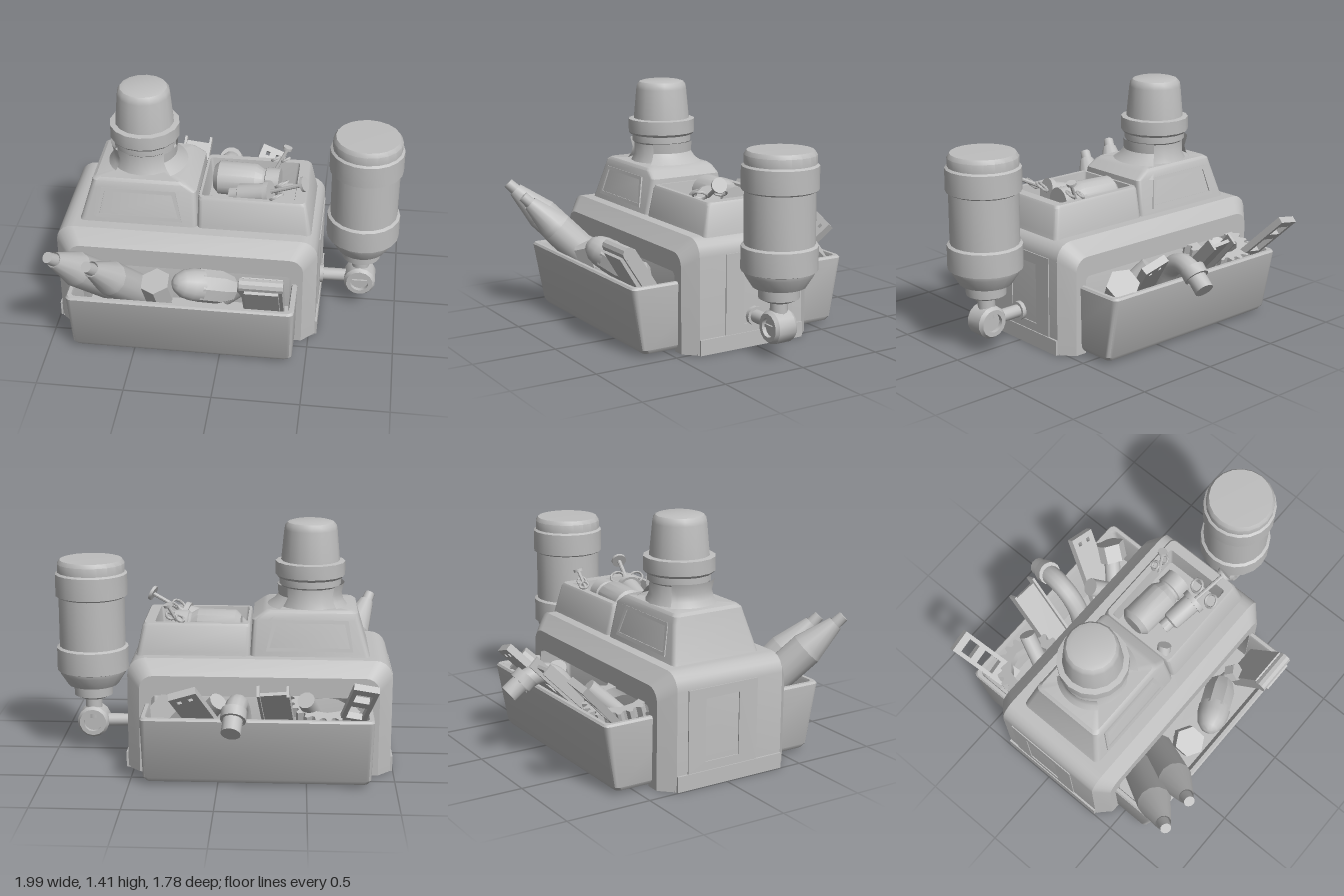
import * as THREE from 'three';
import { toCreasedNormals } from 'three/addons/utils/BufferGeometryUtils.js';

const grey = new THREE.MeshStandardMaterial({ color: 0xbebebe, side: THREE.DoubleSide });
grey.name = 'plain grey';
const V = (x, y, z) => new THREE.Vector3(x, y, z);
const UP = V(0, 1, 0);

export function createModel() {
  const root = new THREE.Group();
  root.name = 'toolCaddy';

  const add = (name, geo, crease = 0.6) => {
    const m = new THREE.Mesh(toCreasedNormals(geo, crease), grey);
    m.name = name;
    root.add(m);
    return m;
  };
  const box = (name, x0, x1, y0, y1, z0, z1) => {
    const g = new THREE.BoxGeometry(x1 - x0, y1 - y0, z1 - z0);
    return add(name, g.translate((x0 + x1) / 2, (y0 + y1) / 2, (z0 + z1) / 2));
  };
  // Stands a mesh built along +y on point a, pointing to b
  const aim = (m, a, b) => {
    const A = V(...a), dir = V(...b).sub(A).normalize();
    m.position.copy(A);
    m.quaternion.setFromUnitVectors(UP, dir);
    return m;
  };
  // Lathe from [radius, height] pairs
  const turned = (name, pts, seg = 14, a = [0, 0, 0], b = [a[0], a[1] + 1, a[2]]) =>
    aim(add(name, new THREE.LatheGeometry(pts.map(p => new THREE.Vector2(...p)), seg)), a, b);
  const rod = (name, r, a, b, seg = 12) => {
    const l = V(...a).distanceTo(V(...b));
    return turned(name, [[0, 0], [r, 0], [r, l], [0, l]], seg, a, b);
  };
  const extrude = (shape, depth) =>
    new THREE.ExtrudeGeometry(shape, { depth, bevelEnabled: false, curveSegments: 6 });
  const rect = (x0, x1, y0, y1) =>
    new THREE.Shape([[x0, y0], [x1, y0], [x1, y1], [x0, y1]].map(p => new THREE.Vector2(...p)));

  // Skin over rings of equal length
  const loft = (name, rings, { open = false, capFirst = false, capLast = false, wrap = false } = {}) => {
    const n = rings[0].length, pos = [], idx = [];
    rings.forEach(r => r.forEach(p => pos.push(p.x, p.y, p.z)));
    for (let i = 0; i < rings.length - (wrap ? 0 : 1); i++) {
      const k = (i + 1) % rings.length;
      for (let j = 0; j < n - (open ? 1 : 0); j++) {
        const j2 = (j + 1) % n, a = i * n + j, b = i * n + j2, c = k * n + j2, d = k * n + j;
        idx.push(a, b, c, a, c, d);
      }
    }
    const cap = (i, flip) => {
      const c = rings[i].reduce((s, p) => s.add(p), V(0, 0, 0)).divideScalar(n), o = pos.length / 3;
      pos.push(c.x, c.y, c.z);
      for (let j = 0; j < n; j++) {
        const a = i * n + j, b = i * n + (j + 1) % n;
        idx.push(o, flip ? b : a, flip ? a : b);
      }
    };
    if (capFirst) cap(0, true);
    if (capLast) cap(rings.length - 1, false);
    const g = new THREE.BufferGeometry();
    g.setAttribute('position', new THREE.Float32BufferAttribute(pos, 3));
    g.setIndex(idx);
    return add(name, g);
  };
  // Horizontal rounded rectangle
  const ring = (y, x0, x1, z0, z1, r = 0.03) => {
    const out = [];
    [[x1 - r, z0 + r], [x0 + r, z0 + r], [x0 + r, z1 - r], [x1 - r, z1 - r]].forEach(([cx, cz], q) => {
      for (let k = 0; k <= 3; k++) {
        const a = (q + k / 3) * Math.PI / 2;
        out.push(V(cx + r * Math.cos(a), y, cz - r * Math.sin(a)));
      }
    });
    return out;
  };

  // Main body: thick arch with a chamfered outer edge
  const arch = (x0, x1, top, r, z) => {
    const out = [V(x1, 0, z)];
    const corner = (cx, q) => {
      for (let k = 0; k <= 5; k++) {
        const a = (q + k / 5) * Math.PI / 2;
        out.push(V(cx + r * Math.cos(a), top - r + r * Math.sin(a), z));
      }
    };
    corner(x1 - r, 0);
    corner(x0 + r, 1);
    return [...out, V(x0, 0, z)];
  };
  loft('bodyArch', [
    arch(-0.83, 0.39, 0.46, 0.03, -0.4), arch(-0.91, 0.46, 0.575, 0.08, -0.4),
    arch(-0.985, 0.535, 0.66, 0.1, -0.32), arch(-0.985, 0.535, 0.66, 0.1, 0.37),
    arch(-0.91, 0.46, 0.575, 0.08, 0.445), arch(-0.83, 0.39, 0.46, 0.03, 0.445),
  ], { open: true, wrap: true });
  box('bodyCore', -0.835, 0.395, 0.09, 0.465, -0.16, 0.19);
  for (const s of [1, -1]) {
    const X = d => -0.225 + s * d;
    const side = (n, d0, d1, ...r) => box(n, Math.min(X(d0), X(d1)), Math.max(X(d0), X(d1)), ...r);
    side('legSole', 0.615, 0.755, 0, 0.01, -0.33, 0.38);
    side('sideFoot', 0.74, 0.772, 0, 0.09, -0.32, 0.37);
    // Raised side frame with a tall window
    const f = rect(-0.2, 0.25, 0.09, 0.56);
    f.holes.push(rect(-0.08, 0.14, 0.14, 0.5));
    const p = add('sideFrame', extrude(f, 0.008).rotateY(Math.PI / 2));
    p.position.x = s > 0 ? 0.533 : -0.991;
  }

  // Open drawers front and back
  const drawer = (name, s, top, low) => {
    const R = (y, i, zOut, zIn) => ring(y, -0.87 + i, 0.43 - i,
      Math.min(s * (zOut - i), s * (zIn + i)), Math.max(s * (zOut - i), s * (zIn + i)));
    loft(name, [R(0.02, 0.025, low + 0.005, 0.17), R(0.045, 0.008, low + 0.005, 0.17), R(0.4, 0, top, 0.17),
      R(0.412, 0.008, top, 0.17), R(0.412, 0.028, top, 0.17), R(0.395, 0.034, top, 0.17),
      R(0.06, 0.035, low, 0.17)], { capFirst: true, capLast: true });
  };
  drawer('frontDrawer', 1, 0.73, 0.67);
  drawer('backDrawer', -1, 0.69, 0.63);

  // Upper housing and tray
  loft('beaconHousing', [ring(0.655, -0.86, -0.17, -0.26, 0.305), ring(0.68, -0.85, -0.17, -0.255, 0.3),
    ring(0.865, -0.795, -0.18, -0.215, 0.255), ring(0.905, -0.785, -0.235, -0.205, 0.245),
    ring(0.92, -0.765, -0.26, -0.19, 0.23)], { capLast: true });
  loft('toolTray', [ring(0.655, -0.17, 0.49, -0.26, 0.305), ring(0.68, -0.17, 0.485, -0.255, 0.3),
    ring(0.825, -0.17, 0.455, -0.225, 0.265), ring(0.84, -0.165, 0.445, -0.215, 0.255),
    ring(0.84, -0.15, 0.385, -0.18, 0.23, 0.015), ring(0.7, -0.135, 0.37, -0.165, 0.215, 0.015)], { capLast: true });
  // Sloping trapezoid trims on the housing
  for (const s of [1, -1]) {
    const trap = i => [[-0.76 + i, i], [-0.26 - i, i], [-0.3 - i, 0.18 - i], [-0.73 + i, 0.18 - i]]
      .map(p => new THREE.Vector2(...p));
    const t = new THREE.Shape(trap(0));
    t.holes.push(new THREE.Path(trap(0.02)));
    const m = add('housingTrim', extrude(t, 0.014).translate(0, 0, -0.007));
    m.position.set(0, 0.69, s > 0 ? 0.298 : -0.253);
    m.rotation.x = -s * 0.23;
  }

  // Warning beacon
  turned('beaconNeck', [[0.2, 0.9], [0.17, 0.96], [0.168, 1.03], [0.18, 1.04], [0.18, 1.09]], 16, [-0.51, 0, 0]);
  turned('beaconCollar', [[0.16, 1.075], [0.188, 1.08], [0.203, 1.095], [0.203, 1.175], [0.17, 1.18]], 16, [-0.51, 0, 0]);
  turned('beaconDome', [[0.172, 1.17], [0.154, 1.36], [0.149, 1.385], [0.136, 1.402], [0.11, 1.41], [0, 1.411]],
    16, [-0.51, 0, 0]);
  const cowl = (name, pts, mid, half) => {
    const g = new THREE.LatheGeometry(pts.map(p => new THREE.Vector2(...p)), 10, mid - half, half * 2);
    add(name, g).position.set(-0.51, 0, 0);
  };
  cowl('rightCowl', [[0.33, 0.86], [0.27, 0.905], [0.21, 0.945], [0.185, 0.98], [0.19, 1.04]], Math.PI / 2, 0.8);
  cowl('leftCowl', [[0.22, 0.915], [0.195, 0.95], [0.185, 0.99], [0.2, 1.05]], -Math.PI / 2, 0.8);

  // Side tank on its swivel joint
  const tx = 0.78, tz = 0.01;
  turned('tank', [[0, 0.32], [0.05, 0.32], [0.075, 0.325], [0.115, 0.345], [0.117, 0.405], [0.15, 0.41], [0.195, 0.48],
    [0.2, 0.5], [0.214, 0.505], [0.214, 0.64], [0.197, 0.65], [0.197, 0.945], [0.214, 0.955],
    [0.214, 1.085], [0.2, 1.095], [0.2, 1.145], [0.185, 1.168], [0, 1.172]], 20, [tx, 0, tz]);
  rod('tankStem', 0.05, [tx, 0.2, tz], [tx, 0.34, tz]);
  turned('swivelJoint', [[0, 0.025], [0.055, 0.025], [0.055, 0], [0.08, 0], [0.095, 0.02], [0.095, 0.125],
    [0.08, 0.145], [0.055, 0.145], [0.055, 0.12], [0, 0.12]], 14, [tx, 0.18, -0.06], [tx, 0.18, 1]);
  box('swivelSlot', 0.735, 0.825, 0.172, 0.19, 0.05, 0.072);
  rod('tankArm', 0.038, [0.5, 0.18, tz], [0.72, 0.18, tz]);
  rod('armFlange', 0.055, [0.53, 0.18, tz], [0.56, 0.18, tz]);

  // Front drawer contents
  const marker = (name, a, b) => {
    turned(name + 'Barrel', [[0, 0], [0.1, 0], [0.1, 0.37]], 12, a, b);
    turned(name + 'Cone', [[0.1, 0.37], [0.092, 0.4], [0.045, 0.59]], 12, a, b);
    turned(name + 'Tip', [[0.036, 0.585], [0.032, 0.65], [0, 0.65]], 12, a, b);
  };
  marker('leftMarker', [-0.66, 0.34, 0.46], [-0.91, 0.79, 0.86]);
  marker('rightMarker', [-0.49, 0.28, 0.45], [-0.68, 0.7, 0.82]);
  rod('frontNut', 0.09, [-0.35, 0.36, 0.56], [-0.37, 0.48, 0.6], 6);
  rod('frontBoltShank', 0.045, [-0.33, 0.2, 0.5], [-0.35, 0.4, 0.57]);
  const bulbA = [0.06, 0.39, 0.5], bulbB = [-0.27, 0.52, 0.65];
  turned('bulbBase', [[0, 0], [0.07, 0], [0.097, 0.08], [0.097, 0.22]], 8, bulbA, bulbB);
  turned('bulbDome', [[0.095, 0.2], [0.092, 0.26], [0.078, 0.315], [0.05, 0.355], [0.022, 0.372], [0, 0.376]],
    16, bulbA, bulbB);
  rod('smallBoltHead', 0.055, [0.13, 0.4, 0.5], [0.16, 0.44, 0.54], 6);
  rod('smallBoltShank', 0.035, [0.02, 0.28, 0.46], [0.13, 0.41, 0.51]);
  const slab = (name, w, l, t, a, b) =>
    aim(add(name, new THREE.BoxGeometry(w, l, t).translate(0, l / 2, 0)), a, b);
  slab('gadgetBody', 0.23, 0.36, 0.08, [0.25, 0.29, 0.52], [0.25, 0.59, 0.71]);
  rod('gadgetRim', 0.037, [0.125, 0.595, 0.72], [0.37, 0.595, 0.72], 10);
  slab('gadgetLip', 0.19, 0.27, 0.03, [0.25, 0.34, 0.61], [0.25, 0.57, 0.75]);

  // Back drawer contents
  const gear = new THREE.Shape();
  for (let i = 0; i < 80; i++) {
    const a = i / 80 * Math.PI * 2, r = i % 4 < 2 ? 0.215 : 0.185;
    gear[i ? 'lineTo' : 'moveTo'](r * Math.cos(a), r * Math.sin(a));
  }
  gear.holes.push(new THREE.Path().absarc(0, 0, 0.13, 0, Math.PI * 2));
  const gearMesh = add('gear', extrude(gear, 0.06));
  gearMesh.position.set(-0.61, 0.4, -0.43);
  gearMesh.rotation.x = -Math.PI / 2 - 0.25;
  rod('backTube', 0.05, [-0.57, 0.3, -0.38], [-0.49, 0.5, -0.58]);
  const plate = (name, w, l, t, holes, a, b) => {
    const p = rect(-w / 2, w / 2, 0, l);
    holes.forEach(h => p.holes.push(rect(...h)));
    return aim(add(name, extrude(p, t).translate(0, 0, -t / 2)), a, b);
  };
  plate('windowPlate', 0.14, 0.46, 0.04, [[-0.045, 0.045, 0.33, 0.41], [-0.045, 0.045, 0.15, 0.28]],
    [-0.73, 0.32, -0.51], [-0.81, 0.64, -0.82]);
  plate('channelWeb', 0.16, 0.47, 0.02, [], [-0.35, 0.25, -0.43], [-0.31, 0.58, -0.75]);
  for (const s of [1, -1])
    slab('channelFlange', 0.015, 0.47, 0.07, [-0.35 + s * 0.08, 0.27, -0.45], [-0.31 + s * 0.08, 0.6, -0.77]);
  plate('drilledStrip', 0.16, 0.47, 0.045, [[-0.045, -0.02, 0.41, 0.435], [0.02, 0.045, 0.41, 0.435]],
    [0.04, 0.25, -0.44], [0.18, 0.56, -0.73]);
  const bend = new THREE.CatmullRomCurve3([V(-0.14, 0.2, -0.47), V(-0.13, 0.34, -0.5), V(-0.12, 0.45, -0.57),
    V(-0.11, 0.49, -0.66), V(-0.1, 0.47, -0.74), V(-0.095, 0.44, -0.79)]);
  add('elbowPipe', new THREE.TubeGeometry(bend, 18, 0.06, 12), 0.8);
  rod('elbowCollar', 0.072, [-0.1, 0.485, -0.745], [-0.095, 0.445, -0.79], 14);
  rod('elbowEnd', 0.055, [-0.095, 0.45, -0.785], [-0.085, 0.39, -0.86], 14);
  rod('backBoltHead', 0.095, [0.25, 0.38, -0.54], [0.3, 0.45, -0.61], 6);
  rod('backBoltShank', 0.05, [0.1, 0.25, -0.4], [0.25, 0.4, -0.54]);
  rod('shortTube', 0.055, [0.12, 0.3, -0.4], [0.0, 0.46, -0.5]);

  // Tray contents
  turned('flask', [[0, 0], [0.07, 0], [0.1, 0.03], [0.1, 0.25], [0.075, 0.29], [0.075, 0.305], [0.085, 0.31],
    [0.085, 0.39], [0, 0.39]], 16, [-0.11, 0.785, -0.06], [0.28, 0.79, -0.03]);
  turned('syringe', [[0, 0], [0.04, 0], [0.04, 0.05], [0.06, 0.06], [0.06, 0.22], [0.075, 0.22], [0.075, 0.25], [0, 0.25]],
    14, [0, 0.76, 0.08], [0.3, 0.83, 0.14]);
  rod('plungerRod', 0.012, [0.24, 0.83, 0.13], [0.43, 0.925, 0.18], 8);
  rod('plungerDisc', 0.045, [0.425, 0.925, 0.178], [0.44, 0.932, 0.182]);
  rod('trayKnob', 0.04, [-0.12, 0.72, 0.18], [-0.08, 0.77, 0.16]);
  rod('smallPlungerRod', 0.01, [0.24, 0.8, -0.15], [0.31, 0.935, -0.18], 8);
  rod('smallPlungerDisc', 0.028, [0.305, 0.93, -0.18], [0.31, 0.945, -0.182]);
  const loop = (x, y, z, r) => {
    const m = add('fingerRing', new THREE.TorusGeometry(r, 0.008, 6, 14), 1.2);
    m.position.set(x, y, z);
    m.rotation.set(1.1, 0.5, 0);
  };
  [[0.3, 0.86, 0.09, 0.04], [0.28, 0.85, 0.21, 0.04], [0.24, 0.86, -0.18, 0.025], [0.3, 0.87, -0.16, 0.025]]
    .forEach(a => loop(...a));
  return root;
}
